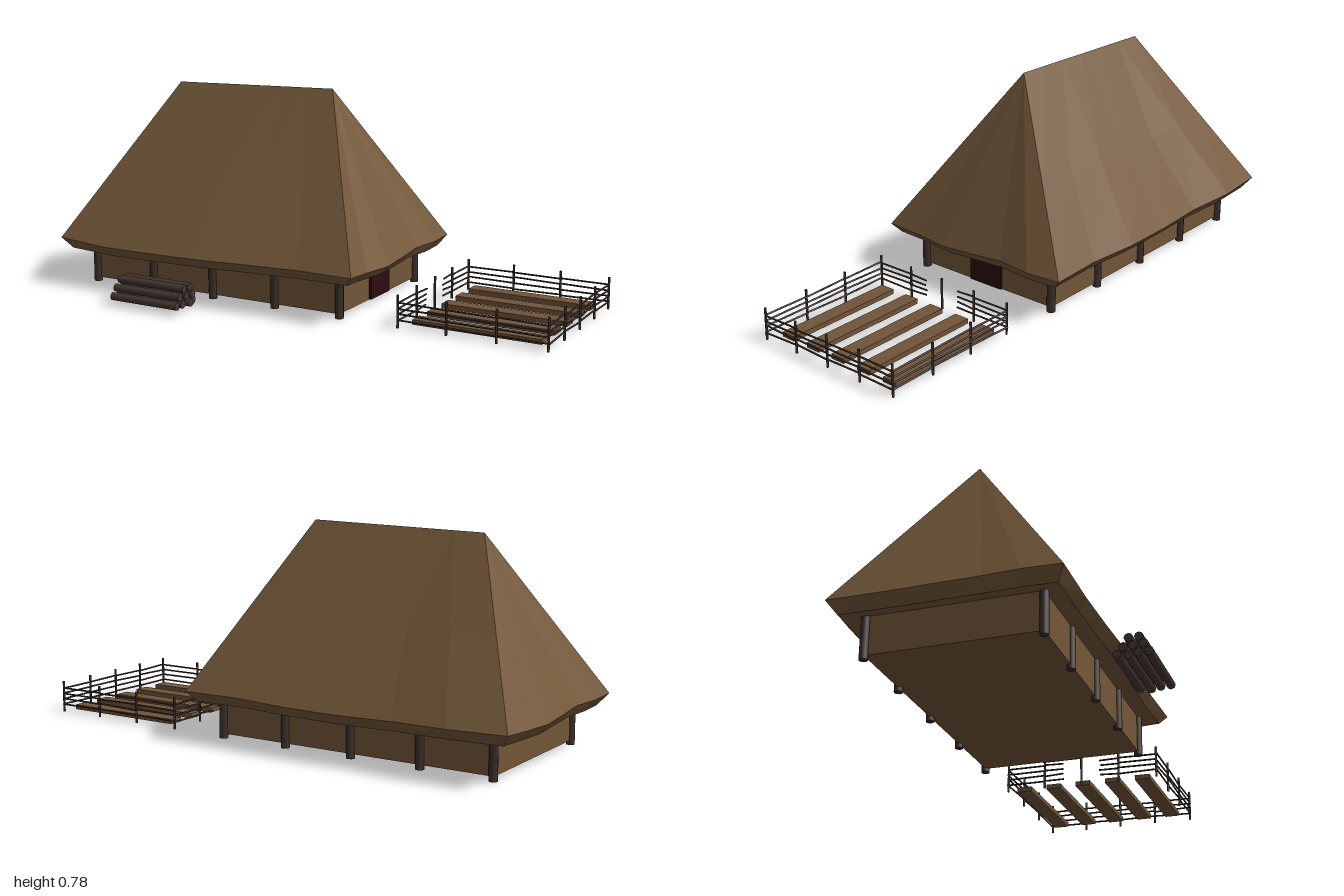
import * as THREE from 'three';

const paint = (name, color) => {
  const m = new THREE.MeshStandardMaterial({ color });
  m.name = name;
  return m;
};

export function createModel() {
  const thatch = paint('thatch', 0x75593b);
  const clay = paint('clay', 0x735739);
  const soil = paint('soil', 0x71543a);
  const timber = paint('timber', 0x3c312b);
  const logWood = paint('logWood', 0x483833);
  const doorRed = paint('doorRed', 0x2e0c0e);

  const model = new THREE.Group();
  model.name = 'farmstead';
  const group = (name) => {
    const g = new THREE.Group();
    g.name = name;
    model.add(g);
    return g;
  };
  const add = (parent, name, geo, mat, x = 0, y = 0, z = 0) => {
    const m = new THREE.Mesh(geo, mat);
    m.name = name;
    m.position.set(x, y, z);
    parent.add(m);
    return m;
  };
  let seed = 7;
  const jitter = (a) => {
    seed = (seed * 16807) % 2147483647;
    return (seed / 2147483647 - 0.5) * 2 * a;
  };
  // round pole between two points
  const pole = (parent, name, a, b, r, mat, sides = 6) => {
    const dir = b.clone().sub(a);
    const m = add(parent, name, new THREE.CylinderGeometry(r, r, dir.length(), sides), mat);
    m.position.copy(a).add(b).multiplyScalar(0.5);
    m.quaternion.setFromUnitVectors(new THREE.Vector3(0, 1, 0), dir.normalize());
    return m;
  };
  const V = (x, y, z) => new THREE.Vector3(x, y, z);

  // Hipped thatch roof: each side is a grid from wall to rim, eave and ridge
  const ridgeL = V(-0.69, 0.765, -0.08), ridgeR = V(-0.005, 0.778, -0.08);
  const eave = [V(-0.99, 0.18, 0.318), V(0.292, 0.178, 0.316), V(0.288, 0.178, -0.48), V(-0.985, 0.18, -0.475)];
  const rim = [V(-0.955, 0.137, 0.29), V(0.262, 0.143, 0.29), V(0.262, 0.138, -0.443), V(-0.955, 0.137, -0.443)];
  const inner = [V(-0.885, 0.152, 0.22), V(0.19, 0.152, 0.22), V(0.19, 0.152, -0.372), V(-0.885, 0.152, -0.372)];
  const ridge = [[ridgeL, ridgeR], [ridgeR, ridgeR], [ridgeR, ridgeL], [ridgeL, ridgeL]];
  const outward = [V(0, 0, 1), V(1, 0, 0), V(0, 0, -1), V(-1, 0, 0)];
  // eave waviness along each side: distance outward and height
  const wave = [
    { out: [0, 0.006, 0.01, 0.016, 0.006, -0.006, 0], up: [0, -0.014, -0.012, -0.008, -0.003, 0, 0] },
    { out: [0, -0.006, 0.009, 0.004, -0.003, 0.012, 0], up: [0, -0.009, -0.013, -0.006, 0.002, 0.001, 0] },
    { out: [0, -0.006, 0.006, 0.002, -0.004, 0.014, 0], up: [0, 0, -0.006, -0.01, -0.006, -0.002, 0] },
    { out: [0, 0.008, 0.014, 0.006, -0.004, 0.006, 0], up: [0, -0.006, -0.01, -0.004, 0.002, 0, 0] },
  ];
  const pos = [];
  for (let s = 0; s < 4; s++) {
    const n = (s + 1) % 4, rows = [[], [], [], [], []];
    for (let i = 0; i <= 6; i++) {
      const t = i / 6;
      const shift = outward[s].clone().multiplyScalar(wave[s].out[i]);
      shift.y = wave[s].up[i];
      const e = eave[s].clone().lerp(eave[n], t).add(shift);
      const top = ridge[s][0].clone().lerp(ridge[s][1], t);
      rows[0].push(inner[s].clone().lerp(inner[n], t));
      rows[1].push(rim[s].clone().lerp(rim[n], t).addScaledVector(shift, 0.7));
      rows[2].push(e);
      rows[3].push(e.clone().lerp(top, 0.45));
      rows[4].push(top);
    }
    for (let r = 0; r < 4; r++) {
      for (let i = 0; i < 6; i++) {
        const a = rows[r][i], b = rows[r][i + 1], c = rows[r + 1][i + 1], d = rows[r + 1][i];
        const corners = c.distanceTo(d) < 1e-6 ? [a, b, c] : [a, b, c, a, c, d];
        corners.forEach((p) => pos.push(p.x, p.y, p.z));
      }
    }
  }
  const roofGeo = new THREE.BufferGeometry();
  roofGeo.setAttribute('position', new THREE.Float32BufferAttribute(pos, 3));
  roofGeo.computeVertexNormals();
  add(model, 'roof', roofGeo, thatch);

  // House body with corner and wall posts
  const house = group('house');
  add(house, 'walls', new THREE.BoxGeometry(1.085, 0.145, 0.6), clay, -0.347, 0.0875, -0.075);
  add(house, 'door', new THREE.BoxGeometry(0.012, 0.135, 0.146), doorRed, 0.199, 0.0835, -0.075);
  for (const z of [0.224, -0.376]) {
    for (let i = 0; i < 5; i++) {
      add(house, 'wallPost', new THREE.CylinderGeometry(0.016, 0.016, 0.16, 8), timber, -0.888 + i * 0.271, 0.08, z);
    }
  }

  // Stacked logs
  const pile = group('logPile');
  for (let row = 0; row < 3; row++) {
    for (let i = 0; i < 4 - row; i++) {
      const x = -0.468 + jitter(0.008), y = 0.032 + row * 0.0295;
      const z = 0.376 + row * 0.0175 + i * 0.0347;
      pole(pile, 'log', V(x - 0.145, y, z), V(x + 0.145, y, z), 0.0155, logWood, 8);
    }
  }

  // Planting beds
  const garden = group('garden');
  for (let i = 0; i < 5; i++) {
    add(garden, 'bed', new THREE.BoxGeometry(0.48, 0.018, 0.058), soil, 0.71, 0.018, -0.315 + i * 0.12);
  }

  // Fence: posts and four rails per bay, with an opening towards the house
  const fence = group('fence');
  const x0 = 0.432, x1 = 0.988, z0 = -0.368, z1 = 0.232;
  const rails = (a, b) => {
    for (let k = 0; k < 4; k++) {
      const y = 0.029 + k * 0.021;
      const p = V(a.x + jitter(0.004), y + jitter(0.002), a.z + jitter(0.004));
      const q = V(b.x + jitter(0.004), y + jitter(0.002), b.z + jitter(0.004));
      pole(fence, 'rail', p, q, 0.0035, timber, 5);
    }
  };
  const run = (a, b, bays, gap) => {
    for (let i = 0; i < bays; i++) {
      const p = a.clone().lerp(b, i / bays), q = a.clone().lerp(b, (i + 1) / bays);
      pole(fence, 'fencePost', p, p.clone().setY(0.12), 0.0045, timber);
      const mid = p.clone().lerp(q, 0.5);
      if (gap && i === 1) rails(p, mid);
      else if (gap && i === 2) rails(mid, q);
      else rails(p, q);
    }
  };
  run(V(x0, 0, z1), V(x1, 0, z1), 3);
  run(V(x1, 0, z1), V(x1, 0, z0), 4);
  run(V(x1, 0, z0), V(x0, 0, z0), 3);
  run(V(x0, 0, z0), V(x0, 0, z1), 4, true);

  return model;
}
